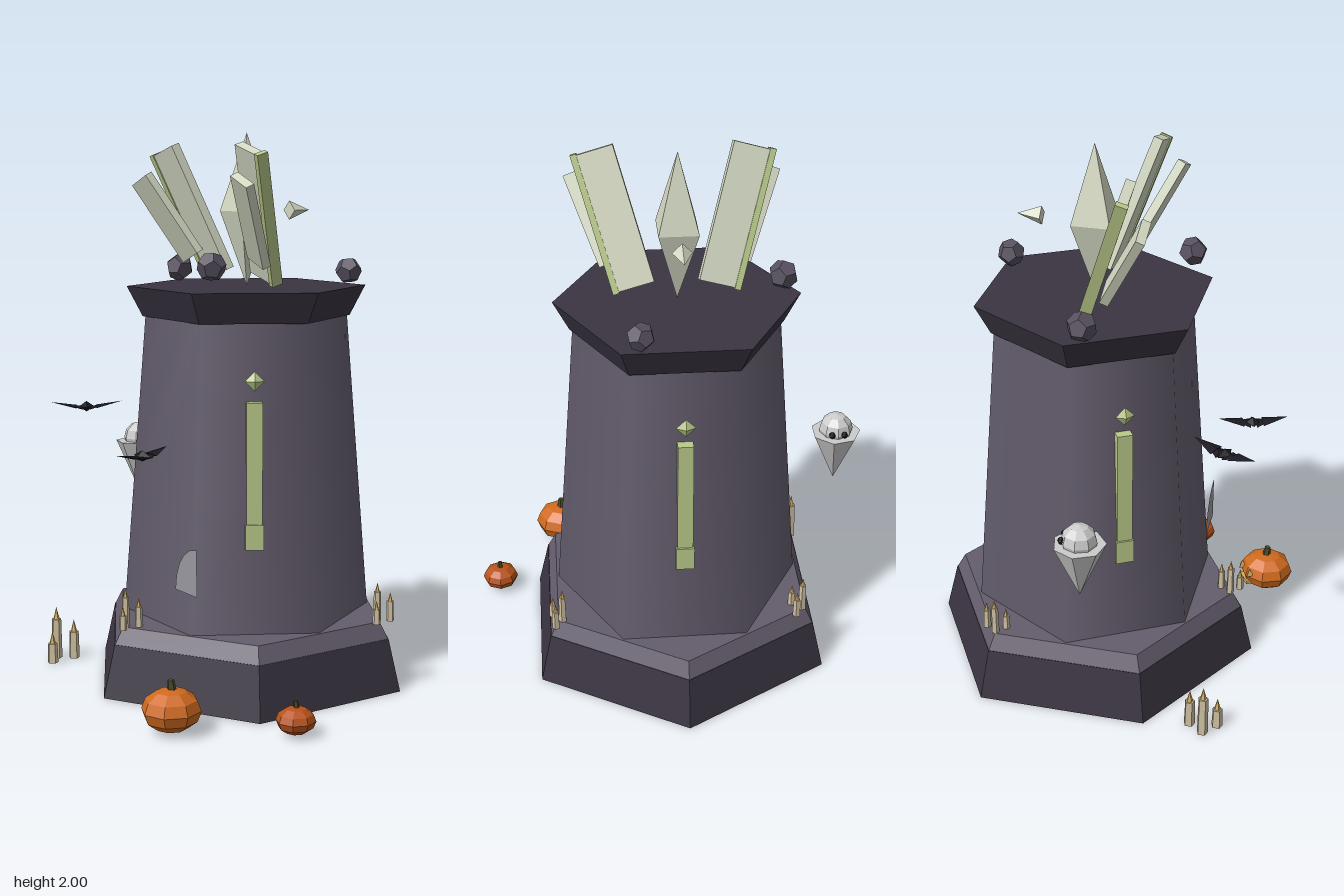
import * as THREE from 'three';

const CX = 0.04, CZ = -0.03; // tower axis
const mat = (color, flatShading = true, side = THREE.FrontSide) =>
  new THREE.MeshStandardMaterial({ color, flatShading, side });
const M = {
  dark: mat(0x3b3542), stone: mat(0x645d6d), wall: mat(0x645d6d, false), rock: mat(0x57505f),
  lime: mat(0xb9c98a), pale: mat(0xd3d8c2), black: mat(0x1c1a20), white: mat(0xe4e6e6),
  orange: mat(0xcf6a1e), rust: mat(0xb9521a), stem: mat(0x4a4a2c), wax: mat(0xcfc0a2),
  flame: mat(0xd8b060), web: mat(0x9a98a0, true, THREE.DoubleSide),
};

function add(parent, name, geo, material, x = 0, y = 0, z = 0) {
  const m = new THREE.Mesh(geo, material);
  m.name = name;
  m.position.set(x, y, z);
  parent.add(m);
  return m;
}
function sub(parent, name, x = 0, y = 0, z = 0) {
  const g = new THREE.Group();
  g.name = name;
  g.position.set(x, y, z);
  parent.add(g);
  return g;
}

// Six-sided tier between two heights; turn = PI/2 puts corners on x, 0 on z
function tier(parent, name, rTop, rBottom, y0, y1, turn, material) {
  const m = add(parent, name, new THREE.CylinderGeometry(rTop, rBottom, y1 - y0, 6), material, CX, (y0 + y1) / 2, CZ);
  m.rotation.y = turn;
}

// Leaning slab from bottom to top point, with an optional bright outer edge
function slab(parent, side, bottom, top, width, thick, edged) {
  const b = new THREE.Vector3(bottom[0], bottom[1], CZ + side * bottom[2]);
  const t = new THREE.Vector3(top[0], top[1], CZ + side * top[2]);
  const d = t.clone().sub(b), len = d.length();
  const Y = d.clone().normalize();
  const Z = new THREE.Vector3(0, -d.z, d.y).normalize();
  const X = new THREE.Vector3().crossVectors(Y, Z);
  const g = sub(parent, 'leaningSlab');
  g.position.copy(b.add(t).multiplyScalar(0.5));
  g.quaternion.setFromRotationMatrix(new THREE.Matrix4().makeBasis(X, Y, Z));
  add(g, 'slab', new THREE.BoxGeometry(thick, len, width), M.pale);
  if (edged) add(g, 'slabEdge', new THREE.BoxGeometry(thick + 0.008, len + 0.01, 0.022), M.lime, 0, 0, side * width / 2);
}

// Three candles, tallest in the middle
function candles(parent, x, y, z, s) {
  const g = sub(parent, 'candles', x, y, z);
  g.scale.setScalar(s);
  for (const [dx, dz, h] of [[-0.031, 0.035, 0.085], [0, 0, 0.14], [0.039, 0.026, 0.105]]) {
    const stick = h - 0.032;
    add(g, 'candle', new THREE.CylinderGeometry(0.013, 0.015, stick, 5), M.wax, dx, stick / 2, dz);
    add(g, 'flame', new THREE.ConeGeometry(0.009, 0.034, 5), M.flame, dx, stick + 0.016, dz);
  }
}

function pumpkin(parent, x, y, z, r, ry, material) {
  const g = sub(parent, 'pumpkin', x, y, z);
  add(g, 'pumpkinBody', new THREE.SphereGeometry(r, 8, 6), material).scale.y = ry / r;
  add(g, 'stem', new THREE.CylinderGeometry(r * 0.11, r * 0.16, r * 0.38, 5), M.stem, 0, ry + r * 0.1, 0).rotation.z = 0.12;
  return g;
}

function bat(parent, x, y, z, yaw) {
  const g = sub(parent, 'bat', x, y, z);
  g.rotation.y = yaw;
  add(g, 'batBody', new THREE.OctahedronGeometry(0.03), M.black).scale.set(0.9, 0.65, 1.3);
  for (const s of [-1, 1]) {
    const wing = sub(g, 'wing');
    wing.rotation.z = s * 0.2;
    // overlapping flat spikes give the jagged wing
    for (const [start, len, r] of [[0.01, 0.06, 0.036], [0.035, 0.095, 0.034]]) {
      const spike = add(wing, 'wingSpike', new THREE.ConeGeometry(r, len, 4), M.black, s * (start + len / 2), -0.008, 0);
      spike.rotation.z = -s * Math.PI / 2;
      spike.scale.x = 0.2;
    }
  }
}

export function createModel() {
  const root = new THREE.Group();
  root.name = 'hauntedTower';

  // Tower
  tier(root, 'base', 0.57, 0.617, 0, 0.19, Math.PI / 2, M.dark);
  tier(root, 'step', 0.535, 0.568, 0.19, 0.25, Math.PI / 2, M.stone);
  tier(root, 'towerBody', 0.37, 0.456, 0.25, 1.34, 0, M.wall);
  tier(root, 'cap', 0.437, 0.38, 1.34, 1.45, 0, M.dark);

  // Windows on every other wall
  for (let i = 0; i < 3; i++) {
    const w = sub(root, 'window', CX, 0, CZ);
    w.rotation.y = i * Math.PI * 2 / 3;
    add(w, 'windowSlit', new THREE.BoxGeometry(0.05, 0.47, 0.056), M.lime, 0.35, 0.835, 0);
    add(w, 'windowSill', new THREE.BoxGeometry(0.05, 0.09, 0.066), M.lime, 0.357, 0.595, 0);
    add(w, 'windowGem', new THREE.OctahedronGeometry(0.035), M.lime, 0.37, 1.145, 0).scale.x = 0.5;
  }

  // Central crystal
  for (const [len, y, flip] of [[0.28, 1.86, 0], [0.27, 1.585, Math.PI]]) {
    const c = add(root, 'crystal', new THREE.ConeGeometry(0.099, len, 4), M.pale, CX, y, CZ);
    c.rotation.set(flip, Math.PI / 4, 0);
  }
  add(root, 'shard', new THREE.ConeGeometry(0.035, 0.09, 4), M.pale, 0.275, 1.72, CZ).rotation.z = -Math.PI / 2;

  // Mirrored slabs
  for (const s of [-1, 1]) {
    slab(root, s, [0.02, 1.49, 0.145], [-0.135, 1.94, 0.275], 0.14, 0.035, true);
    slab(root, s, [-0.055, 1.55, 0.215], [-0.205, 1.835, 0.33], 0.105, 0.032, false);
  }

  // Floating rocks
  for (const [x, y, z, r] of [[-0.263, 1.54, 0.2, 0.052], [-0.01, 1.5, -0.41, 0.054], [0.393, 1.5, 0.12, 0.05]])
    add(root, 'rock', new THREE.DodecahedronGeometry(r), M.rock, x, y, z).rotation.set(x * 3, z * 4, 0.3);

  // Candle clusters
  candles(root, 0.309, 0.25, 0.416, 1);
  candles(root, 0.309, 0.25, -0.482, 1);
  candles(root, -0.484, 0.25, -0.03, 1);
  candles(root, -0.486, 0, -0.56, 1.42);

  // Pumpkins, the large one carved
  const big = pumpkin(root, -0.562, 0.08, 0.405, 0.104, 0.074, M.orange);
  pumpkin(root, -0.233, 0.053, 0.662, 0.069, 0.047, M.rust);
  const face = sub(big, 'carvedFace');
  face.rotation.y = 0.6;
  for (const s of [-1, 1])
    add(face, 'carvedEye', new THREE.ConeGeometry(0.018, 0.03, 3), M.flame, 0.092, 0.025, s * 0.035);
  add(face, 'carvedMouth', new THREE.BoxGeometry(0.02, 0.014, 0.07), M.flame, 0.092, -0.025, 0);

  // Ghost looking towards +x
  const ghost = sub(root, 'ghost', -0.057, 0, -0.642);
  add(ghost, 'ghostRobe', new THREE.ConeGeometry(0.094, 0.21, 7), M.white, 0, 0.695, 0).rotation.x = Math.PI;
  add(ghost, 'ghostHead', new THREE.SphereGeometry(0.064, 8, 6), M.white, 0, 0.812, 0);
  for (const s of [-1, 1])
    add(ghost, 'ghostEye', new THREE.SphereGeometry(0.013, 6, 4), M.black, 0.058, 0.817, s * 0.023);

  // Bats
  bat(root, -0.485, 1.015, -0.296, -0.46);
  bat(root, -0.515, 0.9, 0.15, 0.3);

  // Cobweb on the right wall
  const web = add(root, 'cobweb', new THREE.CircleGeometry(0.14, 5, Math.PI / 2, Math.PI / 2), M.web, -0.36, 0.4, 0.25);
  web.rotation.y = -Math.PI / 2;
  web.scale.y = 1.2;

  return root;
}
